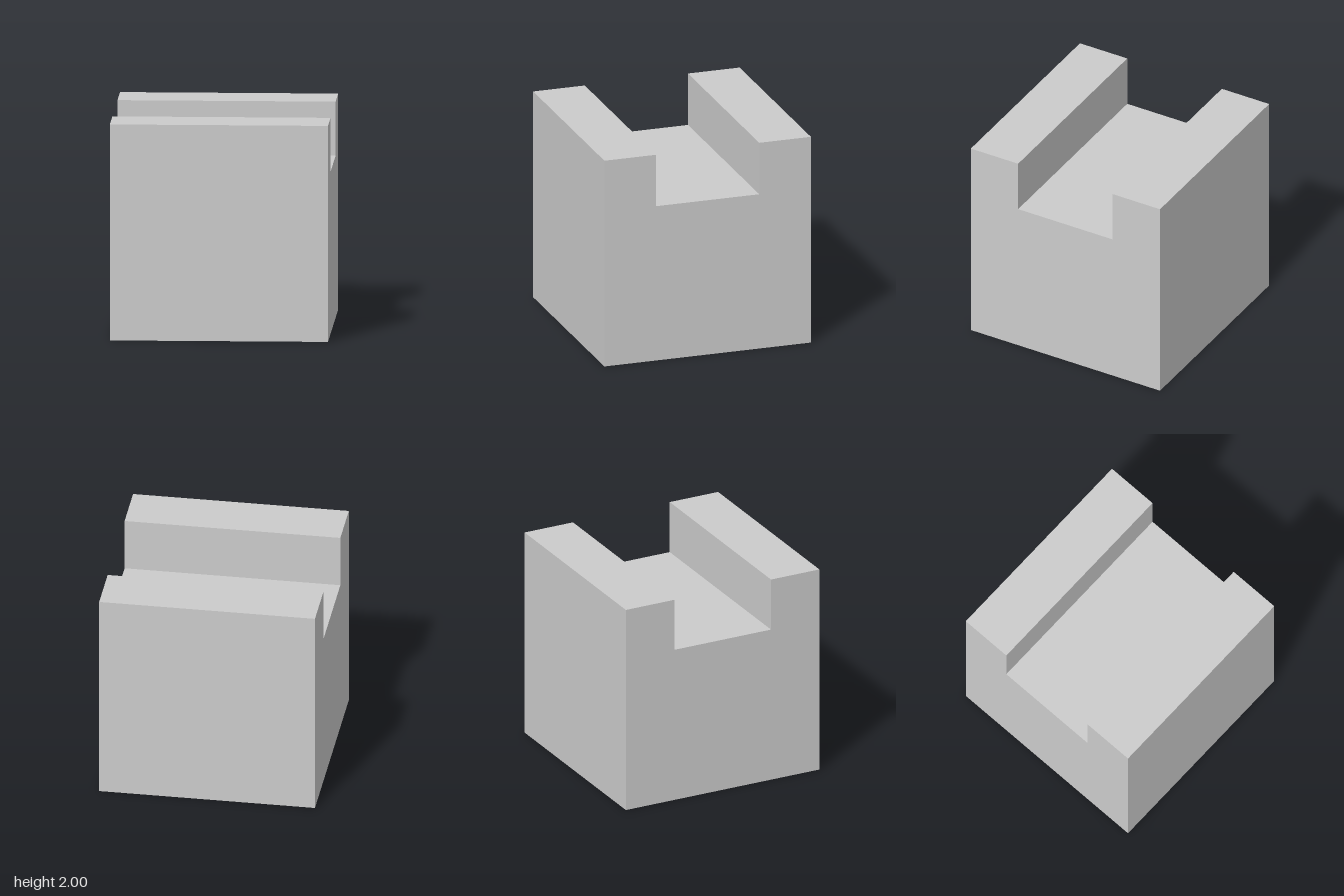
import * as THREE from 'three';

export function createModel() {
  const group = new THREE.Group();
  group.name = 'slottedBlock';

  // U-shaped side profile (z, y), symmetric front to back
  const half = [[1, 0], [1, 2], [0.5, 2], [0.5, 1.5]];
  const mirrored = half.map(([z, y]) => [-z, y]).reverse();
  const profile = new THREE.Shape([...half, ...mirrored].map(([z, y]) => new THREE.Vector2(z, y)));

  // Extrude across the width, then turn the extrusion axis onto x
  const geometry = new THREE.ExtrudeGeometry(profile, { depth: 2, bevelEnabled: false });
  geometry.translate(0, 0, -1);
  geometry.rotateY(Math.PI / 2);

  const block = new THREE.Mesh(
    geometry,
    new THREE.MeshStandardMaterial({ color: 0xcccccc, flatShading: true })
  );
  block.name = 'blockWithChannel';
  group.add(block);
  return group;
}
